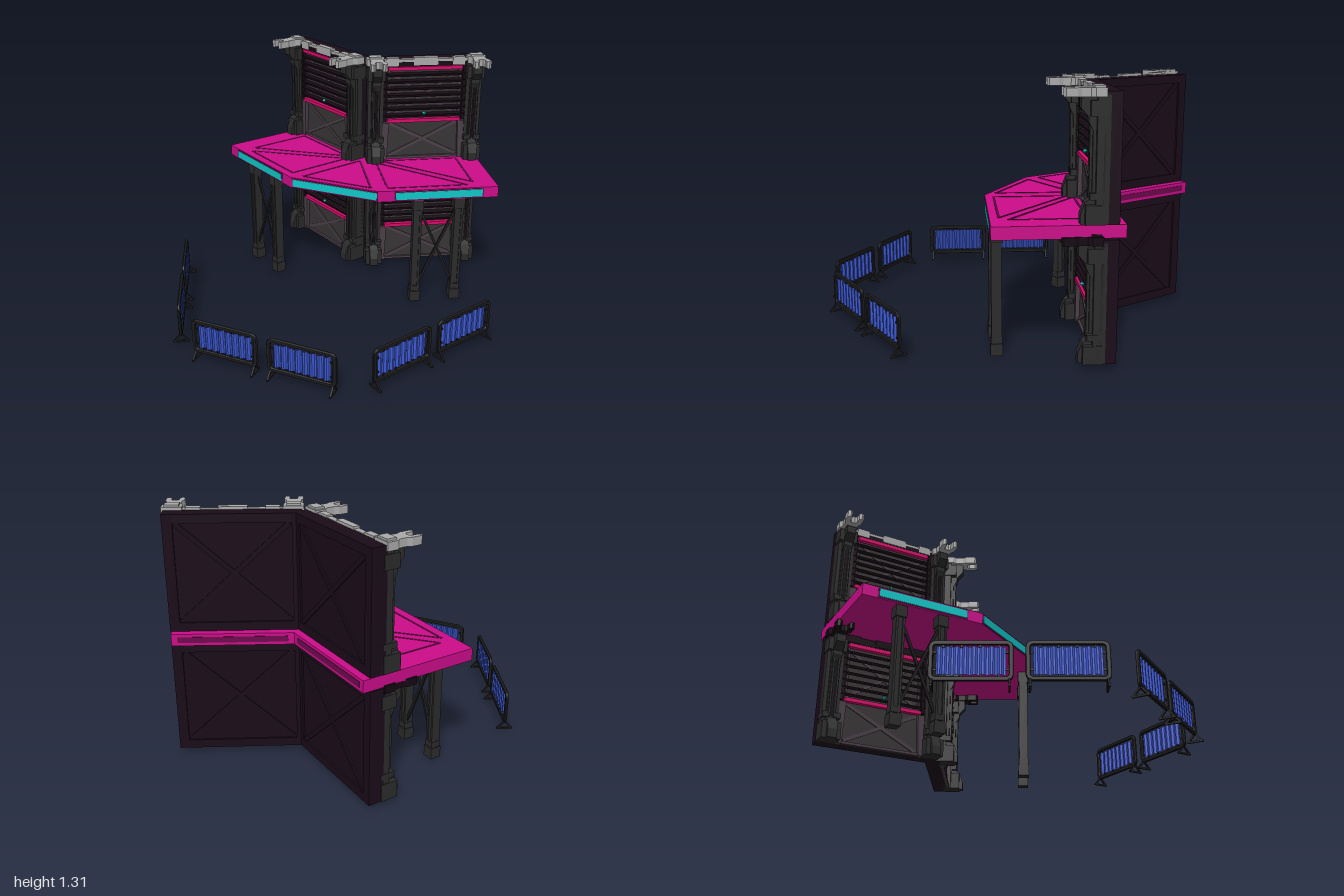
import * as THREE from 'three';

const mat = (color, side = THREE.FrontSide) => new THREE.MeshStandardMaterial({ color, flatShading: true, side });
const M = {
  pink: mat(0xcc0d8a), groove: mat(0x6e0a4e), strip: mat(0xd80a6a), cyan: mat(0x10c8c8), black: mat(0x150812),
  wall: mat(0x1a0c18), panel: mat(0x383436), frame: mat(0x4a3f48), dark: mat(0x2b2b2b), iron: mat(0x1c1c1e),
  light: mat(0xaaaaaa), blue: mat(0x3d58d0, THREE.DoubleSide),
};

function add(parent, name, geo, m, x = 0, y = 0, z = 0) {
  const mesh = new THREE.Mesh(geo, m);
  mesh.name = name;
  mesh.position.set(x, y, z);
  parent.add(mesh);
  return mesh;
}
const box = (p, name, m, w, h, d, x, y, z) => add(p, name, new THREE.BoxGeometry(w, h, d), m, x, y, z);

// bar in an upright plane at depth z
function strut(p, name, m, [x1, y1], [x2, y2], w, d, z) {
  const len = Math.hypot(x2 - x1, y2 - y1);
  box(p, name, m, len, w, d, (x1 + x2) / 2, (y1 + y2) / 2, z).rotation.z = Math.atan2(y2 - y1, x2 - x1);
}
// bar lying level between two [x, z] points
function level(p, name, m, [x1, z1], [x2, z2], h, d, y, trim = 1) {
  const len = Math.hypot(x2 - x1, z2 - z1) * trim;
  box(p, name, m, len, h, d, (x1 + x2) / 2, y, (z1 + z2) / 2).rotation.y = -Math.atan2(z2 - z1, x2 - x1);
}
const shapeOf = pts => new THREE.Shape(pts.map(([x, y]) => new THREE.Vector2(x, y)));
// extrude a plan outline of [x, z] points upwards
function plan(pts, h) {
  const s = shapeOf(pts.map(([x, z]) => [x, -z]));
  return new THREE.ExtrudeGeometry(s, { depth: h, bevelEnabled: false }).rotateX(-Math.PI / 2);
}
// extrude a side profile of [z, y] points across x, centred
function profile(pts, w) {
  const s = shapeOf(pts.map(([z, y]) => [-z, y]));
  return new THREE.ExtrudeGeometry(s, { depth: w, bevelEnabled: false }).translate(0, 0, -w / 2).rotateY(Math.PI / 2);
}

function pillar() {
  const g = new THREE.Group();
  g.name = 'pillar';
  const side = [[.1, 0], [.215, 0], [.215, .045], [.195, .1], [.165, .12], [.165, .42], [.185, .46],
    [.185, .48], [.22, .52], [.22, .56], [.2, .575], [.1, .575]];
  add(g, 'pillarCore', profile(side, .05), M.dark);
  // flanking columns with stepped foot and head
  for (const s of [-1, 1]) {
    box(g, 'pillarColumn', M.dark, .022, .58, .06, s * .034, .29, .12);
    box(g, 'pillarFoot', M.dark, .03, .09, .09, s * .035, .045, .15);
    box(g, 'pillarCollar', M.dark, .028, .03, .075, s * .034, .13, .14);
    box(g, 'pillarHead', M.dark, .03, .07, .08, s * .035, .52, .14);
    box(g, 'pillarPipe', M.dark, .01, .32, .012, s * .014, .28, .172);
  }
  box(g, 'pillarGroove', M.black, .012, .3, .01, 0, .28, .164);
  return g;
}

const hookPlan = [[-.05, .11], [.05, .11], [.05, .16], [.036, .18], [.036, .22], [.046, .24], [.046, .29], [.032, .3],
  [.02, .29], [.02, .255], [.01, .245], [-.01, .245], [-.02, .255], [-.02, .29], [-.032, .3], [-.046, .29], [-.046, .24],
  [-.036, .22], [-.036, .18], [-.05, .16]];

// one storey of wall: back slab, shutter, pillars and top rail
function bay(railMat) {
  const g = new THREE.Group();
  g.name = 'wallBay';
  box(g, 'wallSlab', M.wall, .66, .595, .07, 0, .2975, .083);
  // raised border and cross on the rear
  for (const s of [-1, 1]) {
    box(g, 'rearPost', M.wall, .05, .595, .012, s * .305, .2975, .044);
    box(g, 'rearBeam', M.wall, .56, .045, .012, 0, .2975 + s * .275, .044);
    strut(g, 'rearBrace', M.wall, [-.27, .2975 - s * .25], [.27, .2975 + s * .25], .025, .008, .046);
  }
  // front panel with cross braces
  box(g, 'frontPanel', M.panel, .5, .57, .006, 0, .285, .12);
  for (const s of [-1, 1]) {
    strut(g, 'lowerBrace', M.frame, [-.2 * s, .02], [.2 * s, .22], .018, .008, .125);
    strut(g, 'upperBrace', M.frame, [-.2 * s, .26], [.2 * s, .52], .016, .008, .124);
    strut(g, 'panelEdge', M.frame, [s * .235, 0], [s * .225, .225], .045, .03, .13);
    box(g, 'shutterGuide', M.black, .035, .34, .028, s * .237, .405, .13);
    box(g, 'guideRib', M.frame, .01, .3, .01, s * .205, .385, .126);
  }
  box(g, 'panelSill', M.frame, .44, .014, .016, 0, .008, .128);
  // shutter slats between bright strips
  for (let i = 0; i < 7; i++) {
    const slat = box(g, 'shutterSlat', M.black, .48, .016, .022, 0, .268 + i * .04, .135);
    slat.rotation.x = .4;
  }
  for (const y of [.237, .545]) box(g, 'brightStrip', M.strip, .43, .02, .025, 0, y, .138);
  box(g, 'shutterHeader', M.black, .5, .025, .035, 0, .57, .13);
  add(g, 'shutterLamp', new THREE.OctahedronGeometry(.013), M.cyan, 0, .28, .148);
  // pillars with hooked rail ends
  for (const s of [-1, 1]) {
    const p = pillar();
    p.position.x = s * .285;
    g.add(p);
    add(g, 'railHook', plan(hookPlan, .04), railMat, s * .29, .57);
    box(g, 'railHookCap', railMat, .07, .014, .05, s * .29, .613, .14);
    box(g, 'railClamp', railMat, .07, .045, .035, s * .19, .584, .133);
  }
  box(g, 'topRail', railMat, .58, .03, .03, 0, .583, .131);
  box(g, 'railCentre', railMat, .14, .045, .035, 0, .586, .133);
  return g;
}

// paired legs with crossed bracing
function legs() {
  const g = new THREE.Group();
  g.name = 'platformLegs';
  for (const s of [-1, 1]) {
    const x = s * .115;
    box(g, 'legShaft', M.dark, .036, .63, .036, x, .315, .58);
    for (const t of [-1, 1]) box(g, 'legRib', M.dark, .012, .56, .05, x + t * .018, .3, .58);
    box(g, 'legFoot', M.dark, .06, .06, .06, x, .03, .58);
    box(g, 'legAnkle', M.dark, .052, .03, .054, x, .08, .58);
    box(g, 'legHead', M.dark, .06, .06, .06, x, .595, .58);
    strut(g, 'legBrace', M.iron, [-s * .1, .1], [s * .1, .56], .014, .012, .58 + s * .006);
  }
  return g;
}

function platform() {
  const g = new THREE.Group();
  g.name = 'platform';
  const o = [[-.89, -.48], [-.28, -.48], [.025, -1.0], [.555, -.695], [.225, -.128], [-.23, .14], [-.89, .14]];
  add(g, 'platformDeck', plan(o, .062), M.pink, 0, .627, 0);
  // glowing front edges and recessed rear edges
  for (const [i, t] of [[3, .73], [4, .95], [5, .73]]) {
    level(g, 'edgeLightFrame', M.groove, o[i], o[i + 1], .054, .005, .658, t + .02);
    level(g, 'edgeLight', M.cyan, o[i], o[i + 1], .042, .01, .658, t);
  }
  for (const i of [0, 1]) level(g, 'rearEdgeInset', M.groove, o[i], o[i + 1], .03, .004, .658, .9);
  return g;
}

// triangular seams on the deck top
function seams(p, tris) {
  for (const t of tris) t.forEach((a, i) => level(p, 'deckSeam', M.groove, a, t[(i + 1) % 3], .004, .011, .689));
}
const bayTris = [[[-.2, .16], [.25, .16], [-.2, .53]], [[.28, .19], [.28, .57], [-.16, .57]]];

function roundRect(C, w, y0, y1, r) {
  const s = new C();
  s.absarc(w - r, y1 - r, r, 0, Math.PI / 2);
  s.absarc(-w + r, y1 - r, r, Math.PI / 2, Math.PI);
  s.absarc(-w + r, y0 + r, r, Math.PI, Math.PI * 1.5);
  s.absarc(w - r, y0 + r, r, Math.PI * 1.5, Math.PI * 2);
  return s;
}

function barrier(x, z, turn) {
  const g = new THREE.Group();
  g.name = 'barrier';
  const s = roundRect(THREE.Shape, .18, .06, .242, .028);
  s.holes.push(roundRect(THREE.Path, .165, .075, .227, .015));
  const opt = { depth: .008, bevelSize: .003, bevelThickness: .004, bevelSegments: 1, curveSegments: 5 };
  add(g, 'barrierFrame', new THREE.ExtrudeGeometry(s, opt), M.iron, 0, 0, -.004);
  // corrugated sheet
  const sheet = new THREE.PlaneGeometry(.3, .132, 32, 1);
  const pos = sheet.attributes.position;
  for (let i = 0; i < pos.count; i++) pos.setZ(i, [-.005, .005, .005, -.005][(i % 33) % 4]);
  add(g, 'barrierSheet', sheet, M.blue, 0, .151, 0);
  for (const e of [-1, 1]) {
    for (let i = 0; i < 4; i++) box(g, 'sheetClip', M.iron, .01, .016, .006, -.12 + i * .08, .151 + e * .07, 0);
    for (const y of [.11, .19]) box(g, 'sheetClip', M.iron, .018, .01, .006, e * .157, y, 0);
    // splayed feet
    const foot = new THREE.Group();
    foot.name = 'barrierFoot';
    foot.position.x = e * .165;
    foot.rotation.y = Math.PI / 2;
    for (const t of [-1, 1]) strut(foot, 'footLeg', M.iron, [0, .068], [t * .036, .026], .009, .01, 0);
    box(foot, 'footBar', M.iron, .085, .009, .01, 0, .025, 0);
    g.add(foot);
  }
  g.position.set(x, 0, z);
  g.rotation.y = turn;
  return g;
}

export function createModel() {
  const root = new THREE.Group();
  root.name = 'gatehouse';
  // two wings meeting at an angle, each two storeys high
  for (const [x, z, turn, flip] of [[-.56, -.48, 0, 1], [-.14, -.722, Math.PI / 3, -1]]) {
    const wing = new THREE.Group();
    wing.name = 'wing';
    const lower = bay(M.black), upper = bay(M.light);
    lower.position.y = .025;
    upper.position.y = .69;
    wing.add(lower, upper, legs());
    seams(wing, bayTris.map(t => t.map(([a, b]) => [a * flip, b])));
    wing.position.set(x, 0, z);
    wing.rotation.y = turn;
    root.add(wing);
  }
  const deck = platform();
  seams(deck, [[[-.2, -.33], [.155, -.125], [-.2, .075]]]);
  root.add(deck);
  // ring of barriers
  const a = Math.PI / 6;
  for (const [x, z, t] of [[-.56, .66, -a], [-.2, .87, -a], [.26, .87, a], [.62, .66, a], [.85, -.18, 3 * a], [.85, .23, 3 * a]])
    root.add(barrier(x, z, t));
  return root;
}
